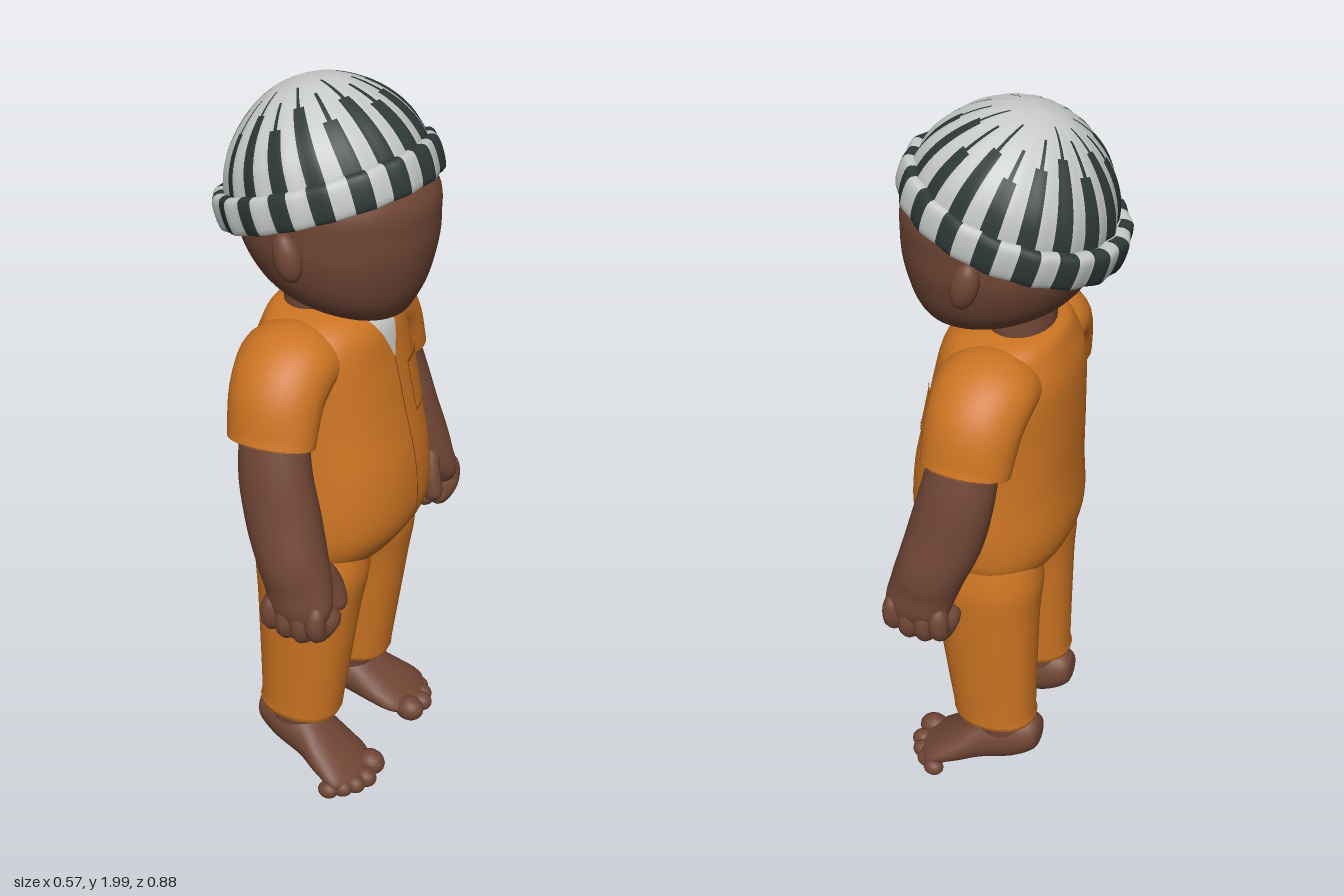
import * as THREE from 'three';

const paint = (name, color) => Object.assign(new THREE.MeshStandardMaterial({ color }), { name });

// Catmull-Rom refinement of rows of numbers
function refine(rows, sub) {
  const out = [];
  for (let j = 0; j < rows.length - 1; j++) {
    const [p, a, b, n] = [rows[Math.max(j - 1, 0)], rows[j], rows[j + 1], rows[Math.min(j + 2, rows.length - 1)]];
    for (let s = 0; s < sub; s++) {
      const t = s / sub;
      out.push(a.map((v, k) => v + 0.5 * t * (b[k] - p[k] + t * (2 * p[k] - 5 * v + 4 * b[k] - n[k] + t * (3 * (v - b[k]) + n[k] - p[k])))));
    }
  }
  out.push(rows[rows.length - 1]);
  return out;
}

// Sweeps ellipses through rows of [x, y, z, radiusA, radiusB]; a fixed axis keeps all rings parallel
function sweep(rows, { axis = null, ref = [1, 0, 0], seg = 28, sub = 5, pow = 2, rib = () => 1, paintCell = () => 0 } = {}) {
  const rings = refine(rows, sub), n = rings.length, pos = [], lists = [[], []];
  const V = (r) => new THREE.Vector3(r[0], r[1], r[2]);
  rings.forEach((r, j) => {
    const T = axis ? V(axis) : V(rings[Math.min(j + 1, n - 1)]).sub(V(rings[Math.max(j - 1, 0)])).normalize();
    const A = V(ref).addScaledVector(T, -V(ref).dot(T)).normalize();
    const B = A.clone().cross(T);
    for (let i = 0; i < seg; i++) {
      const a = i / seg * Math.PI * 2, c = Math.cos(a), s = Math.sin(a), k = rib(a);
      const p = V(r).addScaledVector(A, Math.sign(c) * Math.abs(c) ** (2 / pow) * r[3] * k)
        .addScaledVector(B, Math.sign(s) * Math.abs(s) ** (2 / pow) * r[4] * k);
      pos.push(p.x, p.y, p.z);
    }
  });
  for (let j = 0; j < n - 1; j++) for (let i = 0; i < seg; i++) {
    const i2 = (i + 1) % seg, a = j * seg + i, b = j * seg + i2, c = b + seg, d = a + seg;
    lists[paintCell(j / (n - 1), i)].push(a, d, b, d, c, b);
  }
  // separate end caps keep hems crisp
  for (const j of [0, n - 1]) {
    const base = pos.length / 3;
    pos.push(...pos.slice(j * seg * 3, (j + 1) * seg * 3), ...rings[j].slice(0, 3));
    for (let i = 0; i < seg; i++) {
      const i2 = (i + 1) % seg;
      lists[0].push(base + seg, base + (j ? i2 : i), base + (j ? i : i2));
    }
  }
  const g = new THREE.BufferGeometry();
  g.setAttribute('position', new THREE.Float32BufferAttribute(pos, 3));
  g.setIndex(lists.flat());
  if (lists[1].length) {
    g.addGroup(0, lists[0].length, 0);
    g.addGroup(lists[0].length, lists[1].length, 1);
  }
  g.computeVertexNormals();
  return g;
}

// Round-ended digit through three points
function digit(points, r) {
  const curve = new THREE.CatmullRomCurve3(points.map((p) => new THREE.Vector3(...p)));
  const rows = [];
  for (let i = 0; i <= 16; i++) {
    const e = Math.max(0, Math.abs(i / 8 - 1) - 0.6) / 0.4, q = r * Math.sqrt(Math.max(0.0004, 1 - e * e));
    rows.push([...curve.getPoint(i / 16).toArray(), q, q]);
  }
  return sweep(rows, { seg: 14, sub: 1 });
}

export function createModel() {
  const orange = paint('orange cloth', 0xcc7422), seam = paint('seam', 0x7d4313), skin = paint('skin', 0x704635);
  const light = paint('light wool', 0xc6c9c6), dark = paint('dark wool', 0x2e3937);
  const model = new THREE.Group();
  model.name = 'figure';
  const add = (parent, name, geo, mat) => {
    const m = new THREE.Mesh(geo, mat);
    m.name = name;
    parent.add(m);
    return m;
  };
  const up = { axis: [0, 1, 0] };
  const stack = (rows) => rows.map(([y, x, rx, rz]) => [x, y, 0, rx, rz]);

  // Torso of the overalls
  const torso = add(model, 'torso', sweep(stack([
    [0.685, 0.03, 0.04, 0.05], [0.71, 0.03, 0.13, 0.19], [0.77, 0.033, 0.187, 0.25], [0.86, 0.042, 0.221, 0.262],
    [1.0, 0.042, 0.217, 0.254], [1.15, 0.025, 0.2, 0.246], [1.3, 0.01, 0.18, 0.245], [1.38, 0.01, 0.158, 0.215],
    [1.42, 0, 0.13, 0.17], [1.435, -0.005, 0.09, 0.11],
  ]), { ...up, seg: 48, pow: 2.25 }), orange);

  // Neck and head
  add(model, 'neck', sweep(stack([[1.36, -0.02, 0.09, 0.11], [1.44, -0.02, 0.085, 0.115], [1.52, 0, 0.1, 0.11]]), up), skin);
  add(model, 'head', sweep(stack([
    [1.42, 0.13, 0.02, 0.02], [1.428, 0.122, 0.085, 0.09], [1.465, 0.08, 0.155, 0.16], [1.52, 0.052, 0.207, 0.207],
    [1.6, 0.035, 0.243, 0.237], [1.67, 0.03, 0.252, 0.245], [1.75, 0.025, 0.246, 0.243], [1.85, 0, 0.185, 0.19], [1.92, -0.02, 0.09, 0.09],
  ]), { ...up, seg: 48 }), skin);

  // Thin details laid on the chest: a grid of (z, y) pressed onto the torso
  const ray = new THREE.Raycaster();
  const chestPatch = (name, mat, map, lift = 0.004, nu = 6, nv = 10) => {
    const g = new THREE.PlaneGeometry(1, 1, nu, nv), p = g.attributes.position;
    for (let i = 0; i < p.count; i++) {
      const [z, y] = map(p.getX(i), p.getY(i) + 0.5);
      ray.set(new THREE.Vector3(1, y, z), new THREE.Vector3(-1, 0, 0));
      const hit = ray.intersectObject(torso)[0];
      p.setXYZ(i, (hit ? hit.point.x : 0.1) + lift, y, z);
    }
    g.computeVertexNormals();
    add(model, name, g, mat);
  };
  const strip = (z, y, w, h) => (u, v) => [z - u * w, y + (v - 0.5) * h];
  chestPatch('undershirt', light, (u, v) => [-u * 0.11 * v, 1.3 + 0.115 * v]);
  chestPatch('frontSeam', seam, strip(0, 1.08, 0.004, 0.44), 0.003, 1, 24);
  chestPatch('pocket', orange, strip(-0.112, 1.195, 0.115, 0.13), 0.006);
  chestPatch('pocketTop', seam, strip(-0.112, 1.263, 0.12, 0.007), 0.008, 8, 1);
  chestPatch('pocketBottom', seam, strip(-0.112, 1.13, 0.12, 0.004), 0.007, 8, 1);
  for (const z of [-0.054, -0.17]) chestPatch('pocketSide', seam, strip(z, 1.195, 0.004, 0.13), 0.007, 1, 8);

  // Paired parts
  for (const s of [1, -1]) {
    const side = s > 0 ? 'right' : 'left';
    const m = (rows) => rows.map(([x, y, z, ...r]) => [x, y, z * s, ...r]);
    add(model, side + 'Sleeve', sweep(m([
      [0, 1.3, 0.1, 0.12, 0.09], [0, 1.33, 0.19, 0.132, 0.1], [0.005, 1.275, 0.268, 0.124, 0.1],
      [0.012, 1.18, 0.309, 0.118, 0.085], [0.013, 1.165, 0.315, 0.116, 0.083],
    ])), orange);
    const leg = m([[0, 0.205, 0.155, 0.115, 0.092], [0, 0.222, 0.155, 0.121, 0.097], [0.004, 0.25, 0.153, 0.12, 0.097],
      [0.024, 0.58, 0.147, 0.145, 0.118], [0.03, 0.72, 0.138, 0.158, 0.128], [0.03, 0.86, 0.13, 0.13, 0.1]]);
    add(model, side + 'TrouserLeg', sweep(leg, { ...up, pow: 2.2 }), orange);

    // Ear
    const ear = add(model, side + 'Ear', new THREE.SphereGeometry(1, 20, 14), skin);
    ear.position.set(0.03, 1.635, 0.252 * s);
    ear.scale.set(0.035, 0.062, 0.032);
    ear.rotation.z = 0.25;

    // Arm and curled hand
    const arm = new THREE.Group();
    arm.name = side + 'Arm';
    model.add(arm);
    add(arm, 'forearm', sweep(m([
      [0.01, 1.25, 0.285, 0.085, 0.07], [0.028, 1.1, 0.325, 0.096, 0.077], [0.058, 0.97, 0.34, 0.1, 0.084],
      [0.092, 0.87, 0.356, 0.093, 0.086], [0.115, 0.8, 0.366, 0.09, 0.074], [0.13, 0.74, 0.385, 0.085, 0.052], [0.132, 0.695, 0.39, 0.05, 0.025],
    ])), skin);
    [[0.058, 0.68], [0.1, 0.667], [0.144, 0.667], [0.187, 0.685]].forEach(([x, y]) =>
      add(arm, 'finger', digit(m([[x, y + 0.1, 0.405], [x, y + 0.015, 0.405], [x, y, 0.355], [x, y + 0.015, 0.295]]), 0.027), skin));
    add(arm, 'thumb', digit(m([[0.15, 0.85, 0.325], [0.175, 0.77, 0.293], [0.19, 0.695, 0.292]]), 0.029), skin);

    // Foot with raised heel and toes
    const foot = new THREE.Group();
    foot.name = side + 'Foot';
    model.add(foot);
    add(foot, 'ankle', sweep(m([[-0.03, 0.1, 0.15, 0.085, 0.065], [-0.012, 0.2, 0.15, 0.088, 0.072], [0, 0.28, 0.15, 0.085, 0.075]]), up), skin);
    add(foot, 'sole', sweep(m([
      [-0.135, 0.145, 0.145, 0.015, 0.015], [-0.122, 0.142, 0.145, 0.052, 0.048], [-0.06, 0.13, 0.148, 0.08, 0.07],
      [0.03, 0.105, 0.157, 0.077, 0.08], [0.1, 0.075, 0.172, 0.058, 0.095], [0.17, 0.048, 0.185, 0.036, 0.098], [0.21, 0.04, 0.18, 0.015, 0.06],
    ]), { axis: [1, 0, 0], ref: [0, 1, 0] }), skin);
    [[0.21, 0.13, 0.037], [0.222, 0.185, 0.029], [0.207, 0.222, 0.027], [0.182, 0.252, 0.026], [0.152, 0.277, 0.025]].forEach(([x, z, r]) => {
      const toe = add(foot, 'toe', new THREE.SphereGeometry(r, 16, 12), skin);
      toe.position.set(x, r + 0.002, z * s);
      toe.scale.x = 1.2;
    });
  }

  // Striped knitted hat, tipped back
  const hat = new THREE.Group();
  hat.name = 'hat';
  hat.position.set(0.013, 1.693, 0);
  hat.rotation.z = 0.326;
  model.add(hat);
  const stripes = 18, seg = stripes * 6;
  const rib = (a) => 1 + 0.012 * Math.cos(stripes * a);
  const rows = (list, x) => list.map(([y, r, k]) => [x, y, 0, r, r * k]);
  const crownPaint = (t, i) => {
    const k = i % 6, tip = 0.66 + 0.2 * ((Math.floor(i / 6) * 7 % 13) / 13);
    return (t < tip - 0.18 ? k < 3 : t < tip && k === 1) ? 1 : 0;
  };
  add(hat, 'crown', sweep(rows([
    [0.05, 0.258, 0.98], [0.1, 0.252, 0.99], [0.155, 0.23, 1.02], [0.21, 0.19, 1.04], [0.26, 0.132, 1.04], [0.291, 0.07, 1], [0.302, 0.003, 1],
  ], 0.008), { ...up, seg, rib, paintCell: crownPaint }), [light, dark]);
  add(hat, 'cuff', sweep(rows([
    [0, 0.268, 0.93], [0.006, 0.286, 0.93], [0.045, 0.291, 0.93], [0.083, 0.286, 0.93], [0.092, 0.268, 0.93], [0.088, 0.25, 0.95],
  ], 0), { ...up, seg, rib, sub: 3, paintCell: (t, i) => (i % 6 < 3 ? 1 : 0) }), [light, dark]);
  return model;
}
